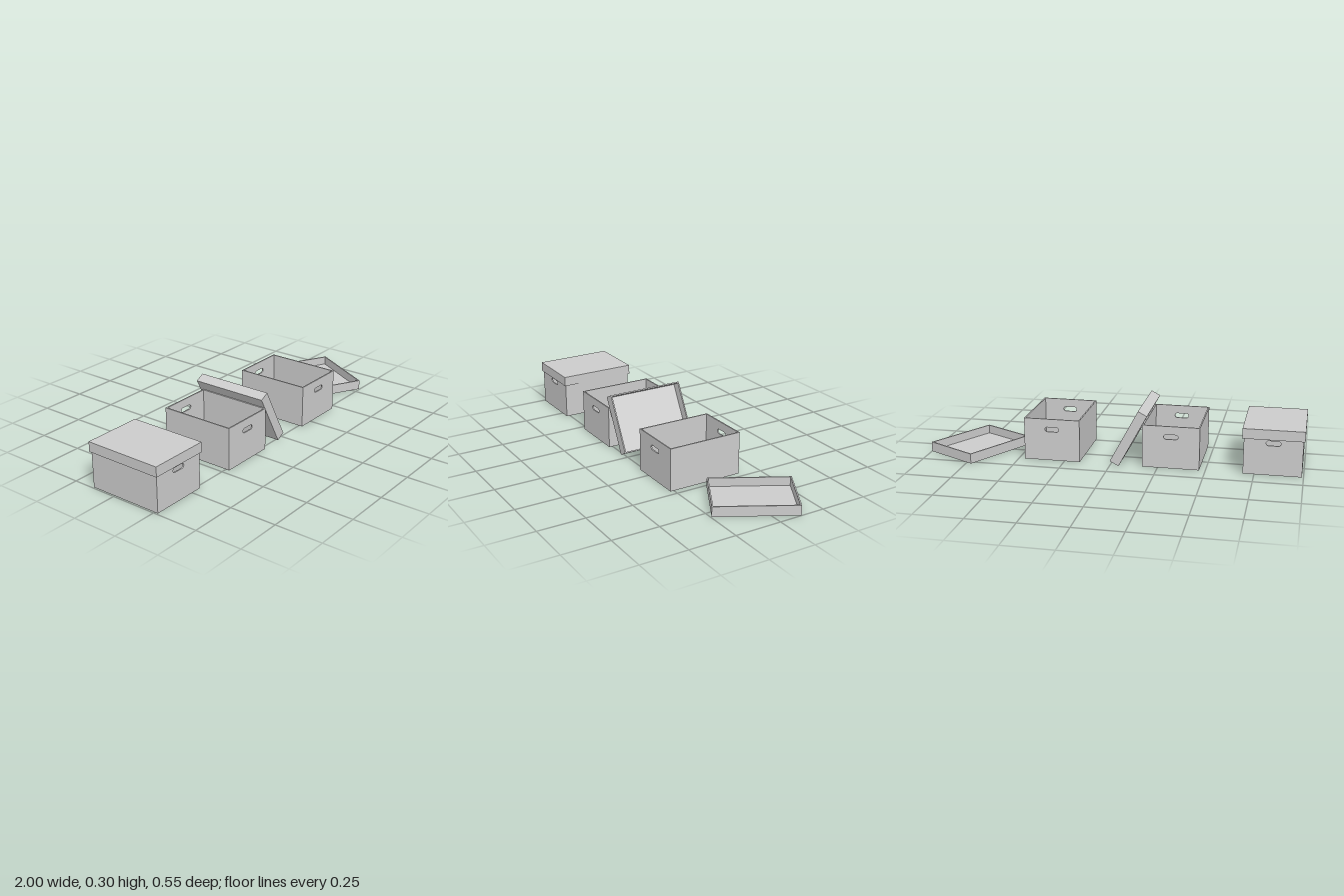
import * as THREE from 'three';

const material = new THREE.MeshStandardMaterial({ color: 0xcccccc, flatShading: true });
const T = 0.007; // board thickness
const BOX = { w: 0.3, h: 0.227, d: 0.406 };
const LID = { w: 0.316, h: 0.053, d: 0.421 };

function addMesh(parent, name, geometry, x = 0, y = 0, z = 0) {
  const mesh = new THREE.Mesh(geometry, material);
  mesh.name = name;
  mesh.position.set(x, y, z);
  parent.add(mesh);
  return mesh;
}

function rectangle(target, w, h) {
  target.moveTo(-w / 2, -h / 2);
  target.lineTo(w / 2, -h / 2);
  target.lineTo(w / 2, h / 2);
  target.lineTo(-w / 2, h / 2);
  target.closePath();
  return target;
}

// End panel with a rounded hand hole, standing on y = 0
function endPanelGeometry() {
  const shape = rectangle(new THREE.Shape(), BOX.w, BOX.h);
  const r = 0.0125, reach = 0.025, cy = 0.17 - BOX.h / 2;
  const hole = new THREE.Path();
  hole.absarc(reach, cy, r, -Math.PI / 2, Math.PI / 2, false);
  hole.absarc(-reach, cy, r, Math.PI / 2, Math.PI * 1.5, false);
  hole.closePath();
  shape.holes.push(hole);
  const geometry = new THREE.ExtrudeGeometry(shape, { depth: T, bevelEnabled: false, curveSegments: 8 });
  return geometry.translate(0, BOX.h / 2, -T / 2);
}

// Open-topped storage box
function createBox(name) {
  const box = new THREE.Group();
  box.name = name;
  const innerDepth = BOX.d - 2 * T;
  for (const s of [1, -1]) {
    addMesh(box, s > 0 ? 'frontPanel' : 'backPanel', endPanelGeometry(), 0, 0, s * (BOX.d - T) / 2);
    addMesh(box, s > 0 ? 'leftPanel' : 'rightPanel', new THREE.BoxGeometry(T, BOX.h, innerDepth),
      s * (BOX.w - T) / 2, BOX.h / 2, 0);
  }
  addMesh(box, 'bottomPanel', new THREE.BoxGeometry(BOX.w - 2 * T, T, innerDepth), 0, T / 2, 0);
  return box;
}

// Tray-shaped lid, modelled upside down with its opening facing +y
function createLid(name) {
  const lid = new THREE.Group();
  lid.name = name;
  addMesh(lid, 'lidPanel', new THREE.BoxGeometry(LID.w, T, LID.d), 0, T / 2, 0);
  const ring = rectangle(new THREE.Shape(), LID.w, LID.d);
  ring.holes.push(rectangle(new THREE.Path(), LID.w - 2 * T, LID.d - 2 * T));
  const rim = new THREE.ExtrudeGeometry(ring, { depth: LID.h - T, bevelEnabled: false });
  addMesh(lid, 'lidRim', rim.rotateX(-Math.PI / 2), 0, T, 0);
  return lid;
}

export function createModel() {
  const model = new THREE.Group();
  model.name = 'storageBoxes';
  const deg = THREE.MathUtils.degToRad;

  // Three boxes in a row
  [['closedBox', -0.842], ['middleBox', -0.318], ['openBox', 0.317]].forEach(([name, x]) => {
    const box = createBox(name);
    box.position.set(x, 0, 0.0665);
    model.add(box);
  });

  // Lid fitted on the first box
  const closedLid = createLid('closedLid');
  closedLid.rotation.z = Math.PI;
  closedLid.position.set(-0.842, 0.243, 0.0665);
  model.add(closedLid);

  // Lid leaning against the middle box
  const leaningLid = createLid('leaningLid');
  leaningLid.rotation.z = -deg(62);
  leaningLid.position.set(-0.121, 0.1395, 0.0535);
  model.add(leaningLid);

  // Lid lying upside down on the floor
  const floorLid = createLid('floorLid');
  floorLid.rotation.y = -deg(29);
  floorLid.position.set(0.759, 0, -0.0155);
  model.add(floorLid);

  return model;
}
